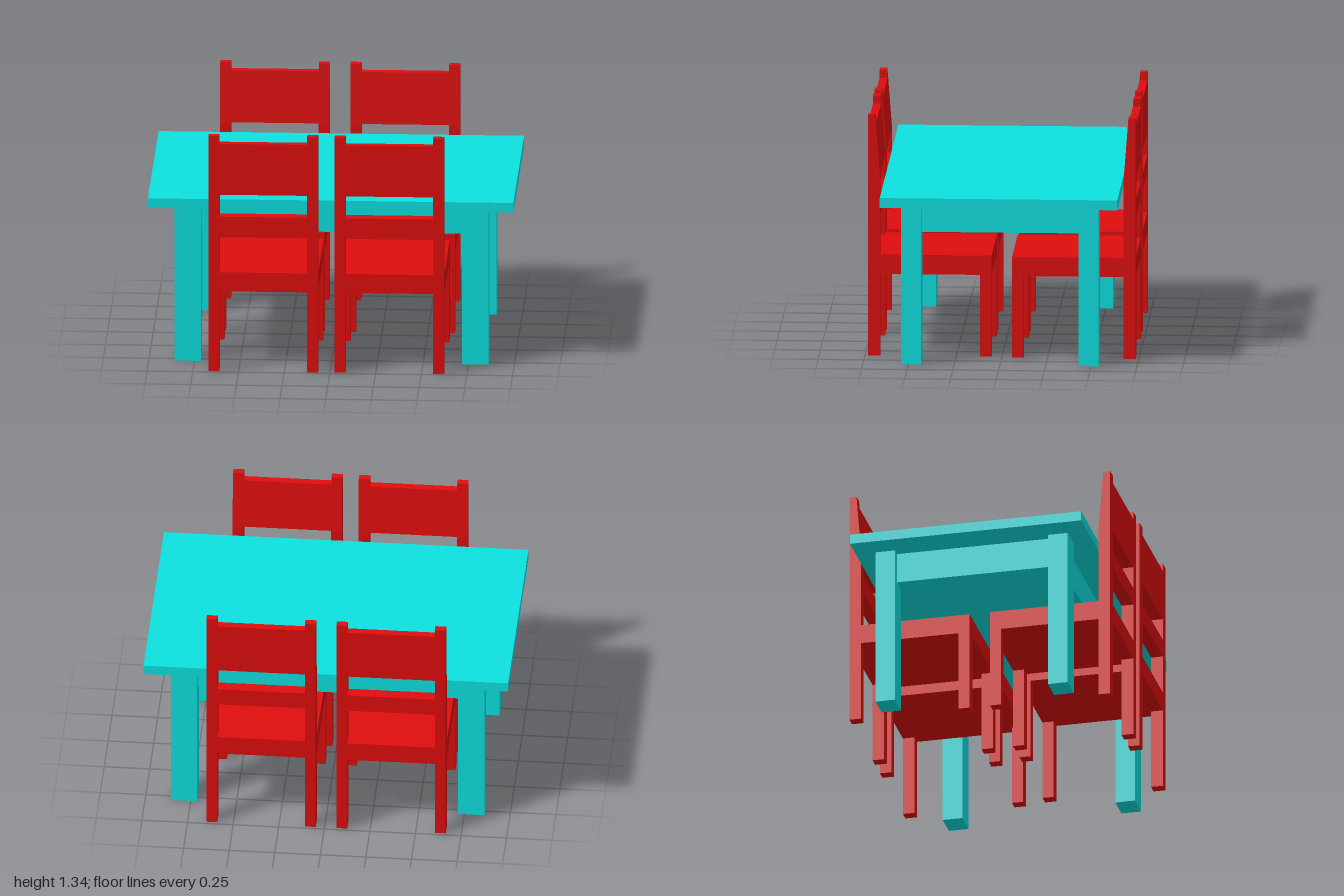
import * as THREE from 'three';

const red = new THREE.MeshStandardMaterial({ color: 0xdf0d0d, flatShading: true });
const teal = new THREE.MeshStandardMaterial({ color: 0x0de0e0, flatShading: true });

// Box given by its limits on each axis
function box(name, material, [x0, x1], [y0, y1], [z0, z1]) {
  const mesh = new THREE.Mesh(new THREE.BoxGeometry(x1 - x0, y1 - y0, z1 - z0), material);
  mesh.name = name;
  mesh.position.set((x0 + x1) / 2, (y0 + y1) / 2, (z0 + z1) / 2);
  return mesh;
}

// Side profile of [z, y] points, extruded across x from x0 to x1
function slab(name, material, profile, [x0, x1]) {
  const shape = new THREE.Shape(profile.map(([z, y]) => new THREE.Vector2(z, y)));
  const geometry = new THREE.ExtrudeGeometry(shape, { depth: x1 - x0, bevelEnabled: false });
  geometry.rotateY(-Math.PI / 2).translate(x1, 0, 0);
  const mesh = new THREE.Mesh(geometry, material);
  mesh.name = name;
  return mesh;
}

function makeTable() {
  const table = new THREE.Group();
  table.name = 'table';
  table.add(box('tableTop', teal, [-1, 1], [0.9, 0.955], [-0.65, 0.65]));
  table.add(box('tableApron', teal, [-0.81, 0.81], [0.73, 0.9], [-0.49, 0.49]));
  for (const sx of [-1, 1]) {
    for (const sz of [-1, 1]) {
      const leg = box('tableLeg', teal, [-0.0725, 0.0725], [0, 0.9], [-0.055, 0.055]);
      leg.position.x = sx * 0.7875;
      leg.position.z = sz * 0.485;
      table.add(leg);
    }
  }
  return table;
}

// Chair with its back towards +z
function makeChair() {
  const chair = new THREE.Group();
  chair.name = 'chair';
  const half = 0.3, inner = 0.24;
  const zIn = 0.667, zOut = 0.733, bend = 1.0, top = 1.34;
  const slope = (y) => zIn + 0.026 * (y - bend) / (top - bend);

  for (const s of [-1, 1]) {
    const xs = s > 0 ? [inner, half] : [-half, -inner];
    // Back post, thinning towards the top on its inner face
    chair.add(slab('backPost', red,
      [[zIn, 0], [zOut, 0], [zOut, top], [slope(top), top], [zIn, bend]], xs));
    chair.add(box('frontLeg', red, xs, [0, 0.455], [0.057, 0.12]));
  }

  // Seat, with a tongue running between the posts
  chair.add(box('seat', red, [-half, half], [0.455, 0.563], [0.057, zIn]));
  chair.add(box('seatRail', red, [-inner, inner], [0.455, 0.563], [zIn, zOut]));

  // Back rail and panel
  chair.add(box('backRail', red, [-inner, inner], [0.78, 0.88], [zIn, zOut]));
  chair.add(slab('backPanel', red,
    [[slope(1.005), 1.005], [zOut, 1.005], [zOut, 1.295], [slope(1.295), 1.295]], [-inner, inner]));
  return chair;
}

export function createModel() {
  const model = new THREE.Group();
  model.name = 'diningSet';
  model.add(makeTable());

  const places = [[-0.365, 0], [0.325, 0], [-0.365, Math.PI], [0.348, Math.PI]];
  for (const [x, turn] of places) {
    const chair = makeChair();
    chair.position.x = x;
    chair.rotation.y = turn;
    model.add(chair);
  }
  return model;
}
